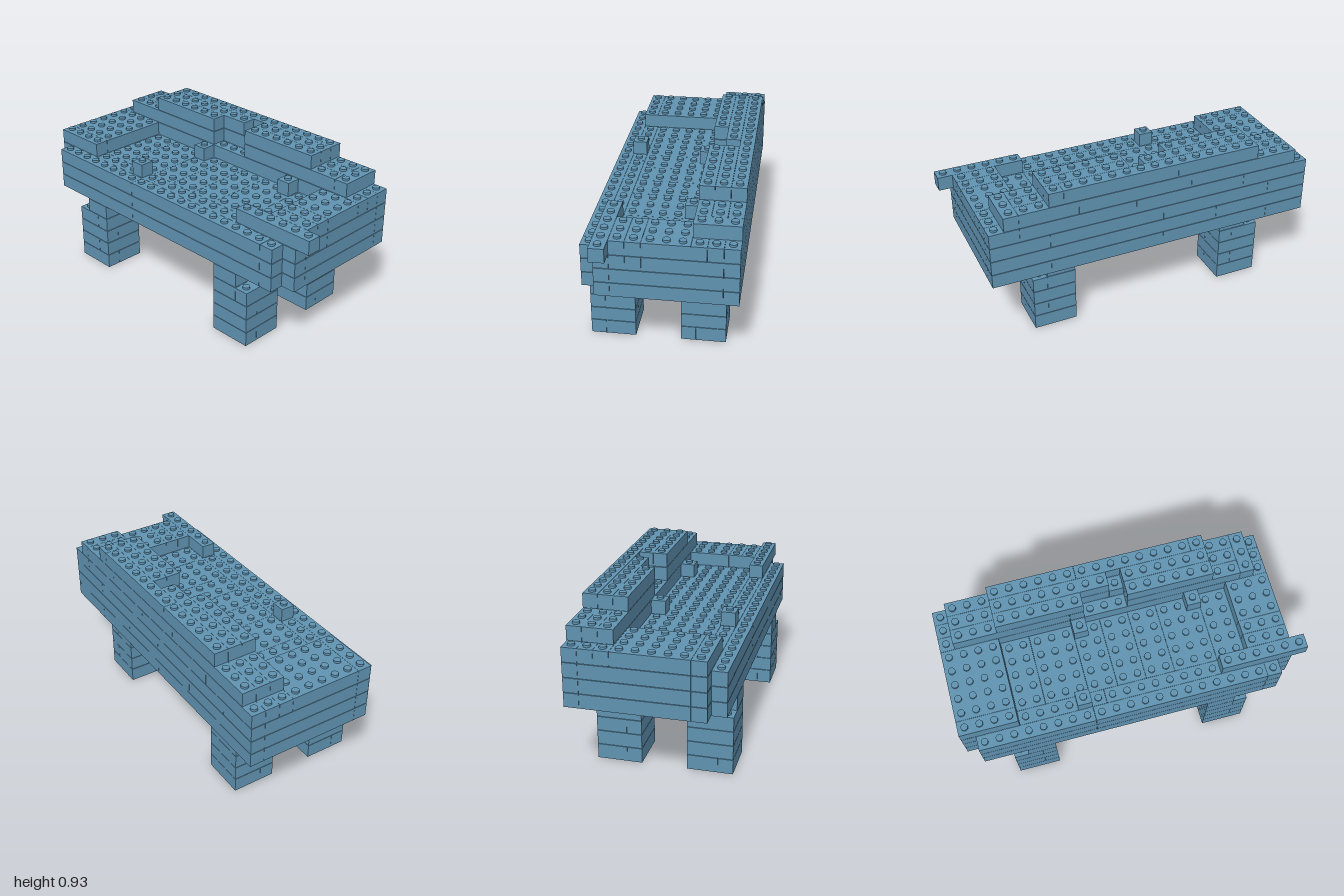
import * as THREE from 'three';
import { mergeGeometries } from 'three/addons/utils/BufferGeometryUtils.js';

const U = 1 / 12;          // one stud pitch, also one brick layer
const GAP = 0.0012;        // hairline seam around each brick
const STUD_R = 0.02, STUD_H = 0.0125;

export function createModel() {
  const blue = new THREE.MeshStandardMaterial({ color: 0x6093b2 });
  blue.name = 'sand blue';
  const model = new THREE.Group();
  model.name = 'brickTable';
  const parts = new Map();       // part name -> list of bricks
  const filled = new Set();      // occupied cells, for placing studs only where exposed
  const key = (i, layer, k) => `${i},${layer},${k}`;

  // Brick on the stud grid: columns i0..i1 (left to right), rows k0..k1 (back to front)
  function brick(part, layer, i0, i1, k0, k1) {
    if (!parts.has(part)) parts.set(part, []);
    parts.get(part).push({ layer, i0, i1, k0, k1 });
    for (let i = i0; i < i1; i++)
      for (let k = k0; k < k1; k++) filled.add(key(i, layer, k));
  }

  // Run of bricks side by side, split at the listed columns
  function run(part, layer, k0, k1, cuts) {
    for (let n = 0; n + 1 < cuts.length; n++) brick(part, layer, cuts[n], cuts[n + 1], k0, k1);
  }

  // Four legs: alternating bonds, with a narrower top course
  for (const [side, i0] of [['right', 3], ['left', 17]]) {
    for (const [end, k0] of [['back', 1], ['front', 7]]) {
      const name = `${end}Leg${side === 'left' ? 'Left' : 'Right'}`;
      for (const layer of [0, 2]) {
        brick(name, layer, i0, i0 + 3, k0, k0 + 2);
        brick(name, layer, i0, i0 + 3, k0 + 2, k0 + 3);
      }
      for (const layer of [1, 3]) run(name, layer, k0, k0 + 3, [i0, i0 + 2, i0 + 3]);
      const inner = side === 'right' ? i0 + 1 : i0;
      brick(name, 4, inner, inner + 2, k0, k0 + 3);
    }
  }

  // Seat slab: three courses with a shorter front row
  const planks = [0, 4, 6, 9, 11, 13, 15, 18, 20, 23];
  for (const layer of [5, 6, 7]) {
    const odd = layer % 2;
    run('seatFrontRow', layer, 9, 10, [1, 9, 21, 22]);
    run('seatSecondRow', layer, 8, 9, odd ? [0, 4, 10, 18, 23] : [0, 6, 14, 20, 23]);
    if (layer < 7) run('seatSlab', layer, 1, 8, planks);
    else {
      run('seatSlab', layer, 1, 8, planks.slice(0, -1));
      brick('seatSlab', layer, 20, 23, 1, 6);
      brick('seatSlab', layer, 20, 23, 6, 7);
      brick('seatSlab', layer, 20, 23, 7, 8);
    }
    run('seatBackRow', layer, 0, 1, odd ? [0, 3, 11, 19, 23] : [0, 7, 15, 23]);
  }

  // Armrests and the overhanging front bar
  brick('rightArm', 8, 0, 4, 3, 8);
  brick('rightArm', 8, 0, 4, 8, 9);
  brick('leftArm', 8, 20, 23, 3, 6);
  brick('leftArm', 8, 20, 23, 6, 7);
  brick('leftArm', 8, 20, 23, 7, 8);
  brick('frontBar', 8, 18, 24, 8, 9);

  // Loose single bricks on the seat
  brick('singleBricks', 8, 8, 9, 8, 9);
  brick('singleBricks', 8, 9, 10, 3, 4);
  brick('singleBricks', 8, 17, 18, 3, 4);

  // Stepped backrest with a notch in the middle
  run('backrestBase', 8, 0, 1, [0, 5, 13, 21, 23]);
  run('backrestBase', 8, 1, 2, [0, 8, 16, 23]);
  run('backrestBase', 8, 2, 3, [0, 9, 17, 23]);
  run('backrestMiddle', 9, 0, 1, [1, 9, 17, 21]);
  run('backrestMiddle', 9, 1, 2, [1, 9, 12, 13, 21]);
  run('backrestMiddle', 9, 2, 3, [1, 9, 10]);
  run('backrestMiddle', 9, 2, 3, [13, 21]);
  brick('backrestMiddle', 9, 21, 22, 0, 3);
  run('backrestTop', 10, 0, 1, [4, 10, 18, 19]);
  brick('backrestTop', 10, 4, 12, 1, 2);
  brick('backrestTop', 10, 13, 19, 1, 2);
  brick('backrestTop', 10, 4, 10, 2, 3);
  brick('backrestTop', 10, 13, 19, 2, 3);

  // One merged mesh of bricks and one of exposed studs for each part
  const X = i => -1 + i * U, Z = k => (k - 5) * U;
  for (const [name, bricks] of parts) {
    const boxes = [], studs = [];
    for (const { layer, i0, i1, k0, k1 } of bricks) {
      const bottom = layer ? layer * U + 0.003 : 0, top = (layer + 1) * U;
      const box = new THREE.BoxGeometry((i1 - i0) * U - GAP, top - bottom, (k1 - k0) * U - GAP);
      boxes.push(box.translate((X(i0) + X(i1)) / 2, (bottom + top) / 2, (Z(k0) + Z(k1)) / 2));
      for (let i = i0; i < i1; i++)
        for (let k = k0; k < k1; k++) {
          if (filled.has(key(i, layer + 1, k))) continue;
          const stud = new THREE.CylinderGeometry(STUD_R, STUD_R, STUD_H, 16);
          studs.push(stud.translate(X(i + 0.5), top + STUD_H / 2, Z(k + 0.5)));
        }
    }
    const group = new THREE.Group();
    group.name = name;
    const add = (label, list) => {
      if (!list.length) return;
      const mesh = new THREE.Mesh(mergeGeometries(list), blue);
      mesh.name = name + label;
      group.add(mesh);
    };
    add('Bricks', boxes);
    add('Studs', studs);
    model.add(group);
  }
  return model;
}
